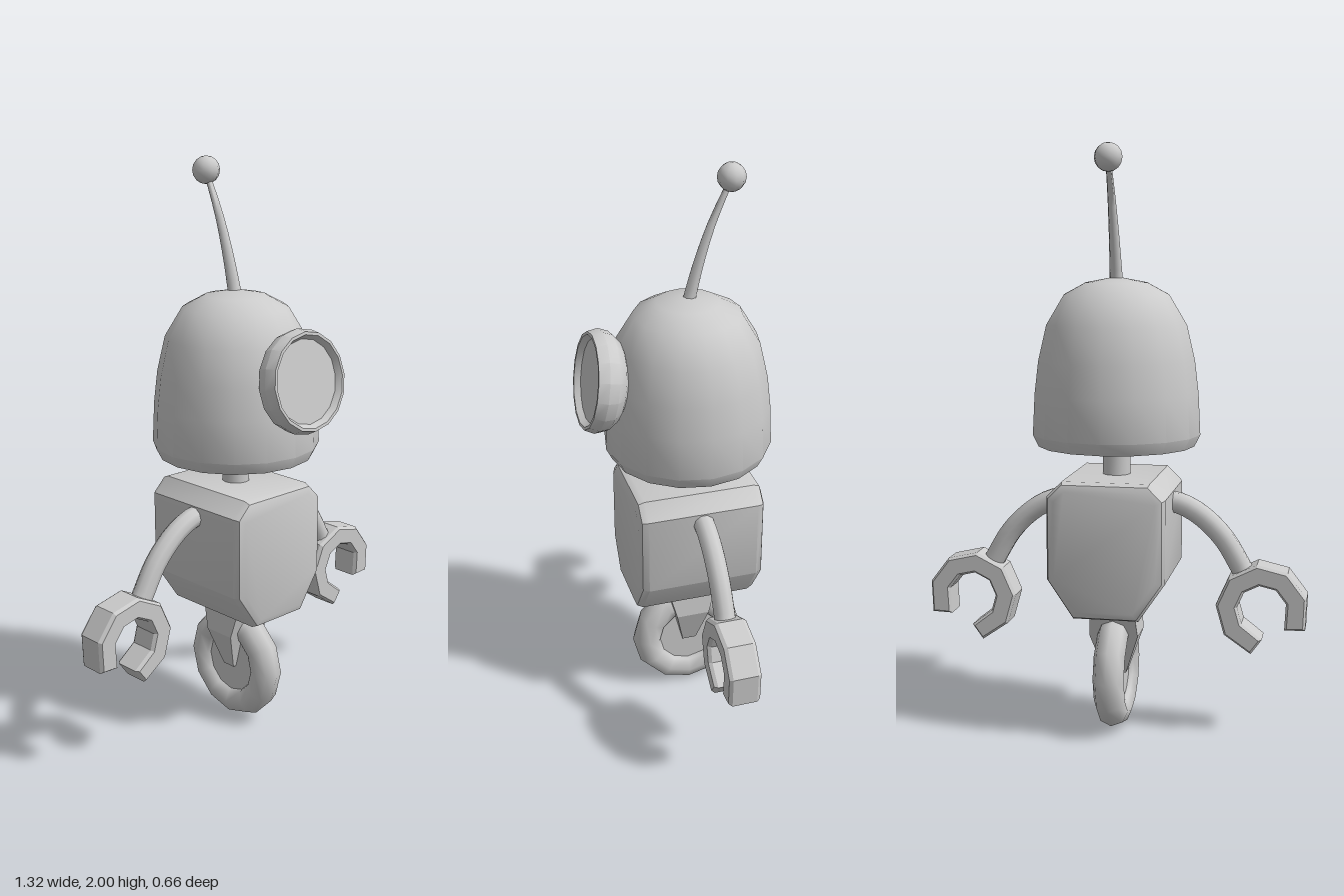
import * as THREE from 'three';
import { toCreasedNormals } from 'three/addons/utils/BufferGeometryUtils.js';

const V = (x, y, z) => new THREE.Vector3(x, y, z);
const P = (x, y) => new THREE.Vector2(x, y);

export function createModel() {
  const model = new THREE.Group();
  const grey = new THREE.MeshStandardMaterial({ color: 0xcccccc });
  const axisZ = -0.042; // everything is centred on this vertical axis

  const add = (name, geometry, x = 0, y = 0, z = axisZ, crease = 0.6) => {
    const mesh = new THREE.Mesh(toCreasedNormals(geometry, crease), grey);
    mesh.name = name;
    mesh.position.set(x, y, z);
    model.add(mesh);
    return mesh;
  };
  const lathe = (pairs, sides) => new THREE.LatheGeometry(pairs.map(([r, y]) => P(r, y)), sides);

  // Tube whose radius runs from r0 to r1
  const taperedTube = (points, r0, r1, steps, sides) => {
    const curve = new THREE.CatmullRomCurve3(points);
    const g = new THREE.TubeGeometry(curve, steps, 1, sides);
    const pos = g.attributes.position, uv = g.attributes.uv;
    const v = V(0, 0, 0);
    for (let i = 0; i < pos.count; i++) {
      const t = uv.getX(i), c = curve.getPointAt(t);
      v.fromBufferAttribute(pos, i).sub(c).multiplyScalar(r0 + (r1 - r0) * t).add(c);
      pos.setXYZ(i, v.x, v.y, v.z);
    }
    return g;
  };

  // Domed head with a chamfered lower rim
  add('head', lathe([[0, 1], [0.268, 1], [0.288, 1.04], [0.281, 1.18], [0.268, 1.29],
    [0.24, 1.41], [0.18, 1.51], [0.106, 1.55], [0, 1.57]], 16));

  // Single eye, tilted slightly upward, with a recessed lens
  const eye = add('eye', lathe([[0, -0.13], [0.1, -0.12], [0.138, -0.1], [0.166, -0.07], [0.174, -0.035],
    [0.163, 0], [0.153, 0], [0.14, -0.02], [0, -0.02]], 16), 0, 1.31, 0.308);
  eye.rotation.x = THREE.MathUtils.degToRad(80.5);

  // Curved antenna and its ball
  add('antenna', taperedTube([V(0, 1.54, 0), V(0, 1.66, -0.03), V(0, 1.8, -0.075), V(0, 1.95, -0.141)],
    0.023, 0.009, 8, 8), 0, 0, axisZ, 1);
  add('antennaBall', new THREE.SphereGeometry(0.047, 10, 8), 0, 1.953, -0.183, 1);

  add('neck', new THREE.CylinderGeometry(0.048, 0.048, 0.18, 12), 0, 0.95);

  // Torso: bevelled slab, tapering at the bottom
  const b = 0.03;
  const torso = new THREE.Shape([[-0.095, 0.465], [0.095, 0.465], [0.17, 0.575], [0.17, 0.835],
    [0.135, 0.87], [-0.135, 0.87], [-0.17, 0.835], [-0.17, 0.575]].map(([x, y]) => P(x, y)));
  const torsoGeo = new THREE.ExtrudeGeometry(torso, {
    depth: 0.45 - 2 * b, bevelSize: b, bevelThickness: b, bevelSegments: 2,
  });
  torsoGeo.translate(0, 0, b - 0.225);
  add('torso', torsoGeo);

  // Claw outline: open ring of straight segments
  const outer = [], inner = [];
  for (let i = 0; i < 8; i++) {
    const a = THREE.MathUtils.degToRad(-22 + i * 39.6);
    outer.push(P(0.149 * Math.cos(a), 0.149 * Math.sin(a)));
    inner.unshift(P(0.093 * Math.cos(a), 0.093 * Math.sin(a)));
  }
  inner[0].set(-0.01, -0.105);
  inner[7].set(0.084, -0.058);
  const clawGeo = new THREE.ExtrudeGeometry(new THREE.Shape([...outer, ...inner]), {
    depth: 0.086, bevelSize: 0.008, bevelThickness: 0.012, bevelSegments: 1,
  });
  clawGeo.translate(0, 0, -0.043);

  // Arms and claws, mirrored
  for (const [side, s] of [['left', 1], ['right', -1]]) {
    add(side + 'Arm', taperedTube([V(s * 0.15, 0.81, 0), V(s * 0.21, 0.806, 0), V(s * 0.285, 0.77, 0),
      V(s * 0.37, 0.69, 0), V(s * 0.443, 0.57, 0)], 0.037, 0.037, 12, 10), 0, 0, axisZ, 0.8);
    const claw = add(side + 'Claw', clawGeo, s * 0.508, 0.453, axisZ, 0.3);
    claw.rotation.y = s > 0 ? 0 : Math.PI;
  }

  // Fork: block with half-widths [x, z] set row by row, narrowing to the hub
  const rows = [[0.038, 0.025, 0.2], [0.085, 0.06, 0.34], [0.075, 0.09, 0.45]];
  const forkGeo = new THREE.BoxGeometry(2, 2, 2, 1, 2, 1);
  const fp = forkGeo.attributes.position;
  for (let i = 0; i < fp.count; i++) {
    const [hx, hz, y] = rows[Math.round(fp.getY(i)) + 1];
    fp.setXYZ(i, fp.getX(i) * hx, y, fp.getZ(i) * hz);
  }
  add('fork', forkGeo, 0, 0, axisZ, 0.3);

  // Wheel: tyre with a recessed disc
  add('tyre', new THREE.TorusGeometry(0.153, 0.054, 8, 12).rotateY(Math.PI / 2), 0, 0.21, axisZ, 1);
  add('wheelDisc', new THREE.CylinderGeometry(0.145, 0.145, 0.05, 12).rotateZ(Math.PI / 2), 0, 0.21);

  return model;
}
